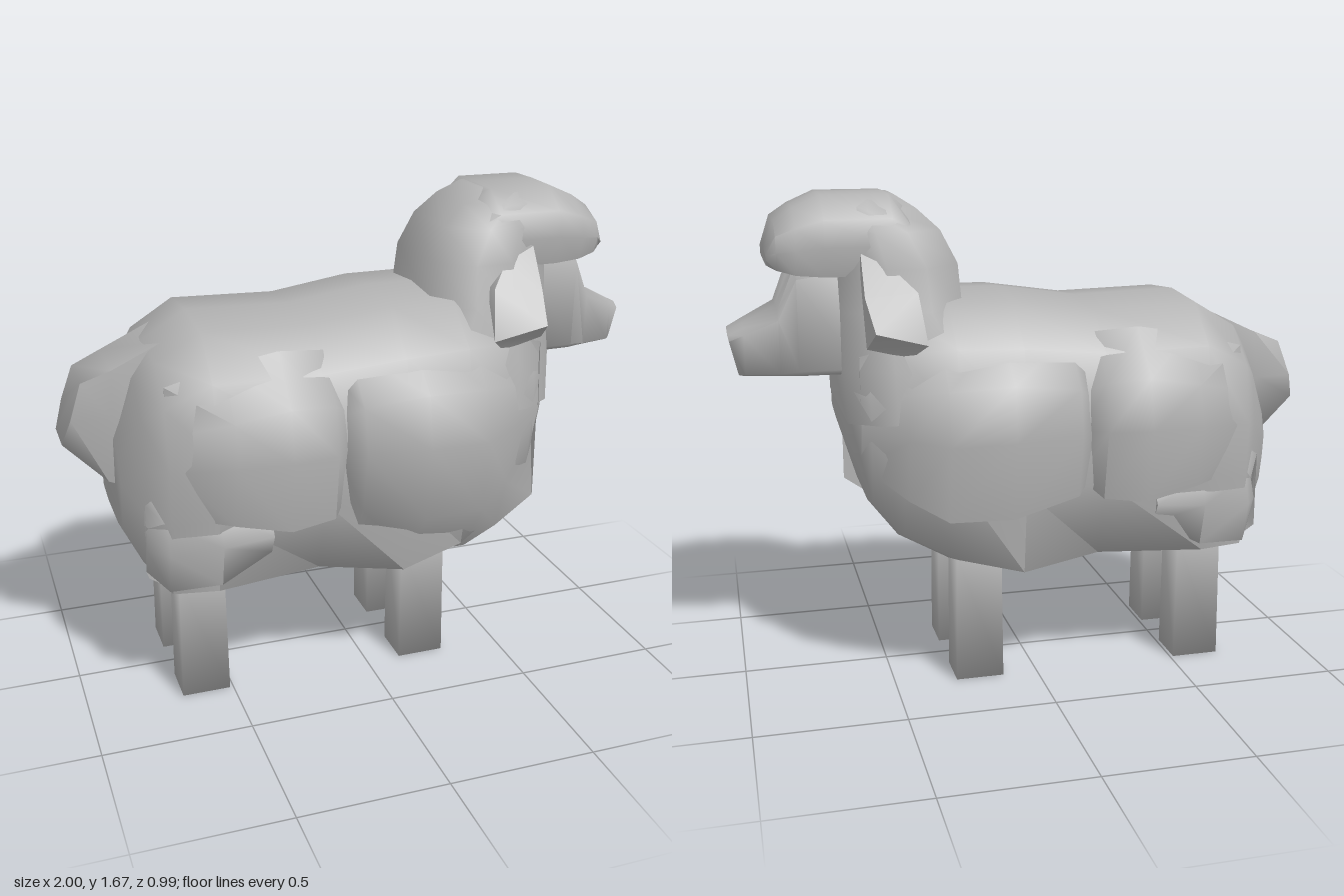
import * as THREE from 'three';
import { mergeVertices, toCreasedNormals } from 'three/addons/utils/BufferGeometryUtils.js';

const gray = new THREE.MeshStandardMaterial({ color: 0xb2b2b2 });
gray.name = 'plain gray';

// Skins a list of equal-length rings of [x, y, z] points and closes both ends
function loft(rings, crease = 1.3) {
  const n = rings[0].length, pos = rings.flat(2), idx = [];
  for (let r = 0; r < rings.length - 1; r++)
    for (let i = 0; i < n; i++) {
      const a = r * n + i, b = r * n + (i + 1) % n;
      idx.push(a, b, b + n, a, b + n, a + n);
    }
  const last = (rings.length - 1) * n;
  for (let i = 1; i < n - 1; i++) idx.push(0, i + 1, i, last, last + i, last + i + 1);
  // turn every face outward, whichever way the rings run
  const p = i => new THREE.Vector3(pos[i * 3], pos[i * 3 + 1], pos[i * 3 + 2]);
  let volume = 0;
  for (let i = 0; i < idx.length; i += 3) volume += p(idx[i]).dot(p(idx[i + 1]).cross(p(idx[i + 2])));
  if (volume < 0) idx.reverse();
  const g = new THREE.BufferGeometry();
  g.setAttribute('position', new THREE.Float32BufferAttribute(pos, 3));
  g.setIndex(idx);
  return toCreasedNormals(mergeVertices(g), crease);
}

// Mirrors a half outline of [width, height], from top to bottom, into rings along x.
// Each station is [x, bottom, top, half width, narrowing of the underside].
function sections(stations, half) {
  const outline = [...half, ...half.slice(1, -1).reverse().map(([w, t]) => [-w, t])];
  return stations.map(([x, y0, y1, w, under = 1]) =>
    outline.map(([z, t]) => [x, y0 + (y1 - y0) * t, z * w * (t < 0.2 ? under : 1)]));
}

export function createModel() {
  const model = new THREE.Group();
  model.name = 'sheep';
  const add = (name, geometry) => {
    const m = new THREE.Mesh(geometry, gray);
    m.name = name;
    model.add(m);
    return m;
  };

  // Barrel of the fleece, rump to chest
  add('body', loft(sections([
    [-0.84, 0.62, 0.93, 0.22], [-0.77, 0.48, 1.14, 0.29], [-0.71, 0.4, 1.22, 0.38],
    [-0.56, 0.39, 1.31, 0.41, 0.98], [-0.2, 0.395, 1.3, 0.41, 0.84], [0.08, 0.37, 1.34, 0.43],
    [0.3, 0.43, 1.34, 0.43, 0.95], [0.47, 0.52, 1.31, 0.38, 0.92], [0.57, 0.65, 1.26, 0.33],
    [0.64, 0.88, 1.2, 0.27],
  ], [[0, 1], [0.55, 0.98], [0.89, 0.84], [1, 0.6], [0.97, 0.36], [0.89, 0.06], [0.45, 0], [0, 0]]), 1.1));

  // Neck rising into the back of the head: [y, back x, front x, half width]
  add('neckAndHead', loft([
    [0.95, 0.1, 0.64, 0.38], [1.12, 0.15, 0.645, 0.36], [1.3, 0.24, 0.645, 0.3], [1.44, 0.25, 0.65, 0.265],
    [1.55, 0.305, 0.68, 0.24], [1.62, 0.38, 0.7, 0.2], [1.665, 0.45, 0.69, 0.13],
  ].map(([y, b, f, w]) => [
    [f, y, w * 0.74], [f - 0.15, y, w], [b + 0.12, y, w], [b, y, w * 0.58],
    [b, y, -w * 0.58], [b + 0.12, y, -w], [f - 0.15, y, -w], [f, y, -w * 0.74],
  ])));

  // Woolly brow overhanging the face
  add('woolBrow', loft(sections([
    [0.4, 1.42, 1.61, 0.22], [0.47, 1.4, 1.67, 0.24], [0.69, 1.4, 1.67, 0.235], [0.78, 1.41, 1.63, 0.23],
    [0.84, 1.43, 1.59, 0.22], [0.87, 1.45, 1.5, 0.19],
  ], [[0, 1], [0.55, 0.99], [0.93, 0.72], [1, 0.4], [0.9, 0.05], [0, 0]]), 0.95));

  // Face and muzzle
  const faceOutline = [[0, 1], [0.75, 1], [1, 0.88], [0.97, 0.05], [0.85, 0], [0, 0]];
  add('face', loft([
    ...sections([
      [0.58, 1.09, 1.48, 0.2], [0.78, 1.09, 1.45, 0.195], [0.84, 1.09, 1.3, 0.175], [0.95, 1.09, 1.245, 0.145],
    ], faceOutline),
    ...sections([[0.97, 1.09, 1.22, 0.12]], faceOutline)
      .map(r => r.map(([x, y, z]) => [x + (y - 1.09) * 0.23, y, z])),
  ], 1.1));

  // Short tail
  add('tail', loft([
    [[-0.66, 1.24, 0.11], [-0.66, 1.24, -0.13], [-0.7, 0.95, -0.16], [-0.74, 0.72, -0.1], [-0.74, 0.72, 0.1], [-0.7, 0.95, 0.14]],
    [[-0.83, 1.16, 0.11], [-0.83, 1.16, -0.13], [-0.84, 1, -0.15], [-0.86, 0.77, -0.09], [-0.86, 0.77, 0.09], [-0.84, 1, 0.12]],
    [[-0.93, 1.12, 0.09], [-0.93, 1.12, -0.11], [-0.97, 1, -0.13], [-1, 0.91, -0.09], [-1, 0.91, 0.07], [-0.97, 1, 0.1]],
  ]));

  for (const [side, s] of [['left', -1], ['right', 1]]) {
    // Drooping ear, a flat leaf splayed outward
    add(side + 'Ear', loft([
      [[0.58, 1.49, 0.2], [0.48, 1.44, 0.21], [0.48, 1.44, 0.25], [0.58, 1.49, 0.25]],
      [[0.58, 1.35, 0.26], [0.41, 1.37, 0.26], [0.41, 1.37, 0.32], [0.58, 1.36, 0.33]],
      [[0.58, 1.2, 0.34], [0.44, 1.165, 0.34], [0.39, 1.21, 0.38], [0.56, 1.26, 0.42]],
    ].map(r => r.map(([x, y, z]) => [x, y, z * s])), 0.7));

    // Locks of wool that grow out of the flank; a positive drop runs the lower edge
    // back into the flank, a negative one leaves it overhanging: [x, bottom, top, outer z]
    const lock = (name, rise, drop, stations) => add(side + name, loft(stations.map(([x, y0, y1, z]) =>
      [[0.3, y1 + rise], [z - 0.03, y1], [z, y1 - (y1 - y0) * 0.4], [z - 0.04, y0], [0.3, y0 - drop]]
        .map(([w, y]) => [x, y, w * s]))));
    lock('FrontLock', 0.15, s > 0 ? 0.2 : -0.03, [[-0.16, 0.74, 1.0, 0.39], [-0.09, 0.7, 1.06, 0.485],
      [0.13, 0.64, 1.08, 0.495], [0.34, 0.64, 1.07, 0.48], [0.46, 0.7, 1.05, 0.41], [0.6, 0.8, 1.02, 0.31]]);
    lock('RearLock', 0.15, -0.02, [[-0.7, 0.72, 1.0, 0.37], [-0.51, 0.7, 1.05, 0.465], [-0.33, 0.66, 1.08, 0.48],
      [-0.18, 0.68, 1.07, 0.47], [-0.11, 0.74, 1.02, 0.39]]);
    lock('ThighLock', 0.1, 0, [[-0.78, 0.5, 0.66, 0.29], [-0.72, 0.46, 0.7, 0.38], [-0.55, 0.47, 0.72, 0.405],
      [-0.38, 0.56, 0.68, 0.4]]);

    // Square legs with softly shaded corners
    for (const [end, x] of [['Rear', -0.595], ['Front', 0.205]])
      add(side + end + 'Leg', loft([[0, 0.083], [0.46, 0.078]].map(([y, r]) =>
        [[-r, -0.075], [r, -0.075], [r, 0.075], [-r, 0.075]].map(([dx, dz]) => [x + dx, y, s * 0.172 + dz])), 1.7));
  }
  return model;
}
